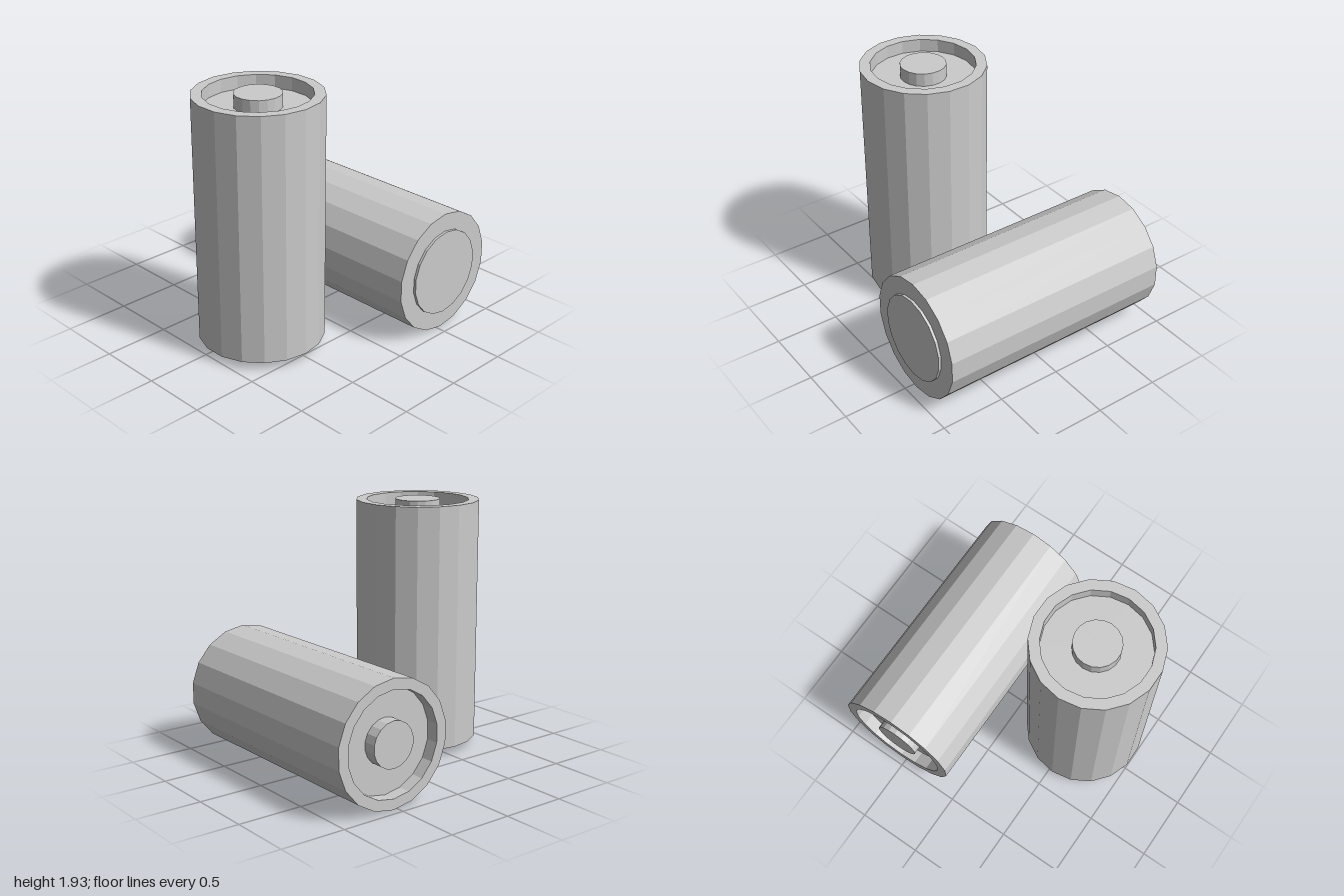
import * as THREE from 'three';

const SIDES = 18;
const material = new THREE.MeshStandardMaterial({ color: 0xcccccc, flatShading: true });

function addPart(group, name, geometry, y = 0) {
  const mesh = new THREE.Mesh(geometry, material);
  mesh.name = name;
  mesh.position.y = y;
  group.add(mesh);
}

// One cell, standing on its flat contact at y = 0
function createBattery(name) {
  const battery = new THREE.Group();
  battery.name = name;

  const radius = 0.47, rimRadius = 0.39;
  const bottom = 0.02, top = 1.888, floor = 1.79;

  // Casing: base, outer wall, rim and recessed top
  const profile = [
    [0, bottom], [radius, bottom], [radius, top],
    [rimRadius, top], [rimRadius, floor], [0, floor],
  ].map(([r, y]) => new THREE.Vector2(r, y));
  addPart(battery, 'casing', new THREE.LatheGeometry(profile, SIDES));

  // Raised button in the recess
  const buttonHeight = 0.1;
  addPart(battery, 'positiveButton',
    new THREE.CylinderGeometry(0.172, 0.172, buttonHeight, SIDES), floor + buttonHeight / 2);

  // Thin flat contact under the base
  addPart(battery, 'negativeContact',
    new THREE.CylinderGeometry(0.332, 0.332, bottom, SIDES), bottom / 2);

  return battery;
}

export function createModel() {
  const model = new THREE.Group();
  model.name = 'batteries';

  const standing = createBattery('standingBattery');
  standing.position.set(-0.537, 0.042, 0.098);

  // Lying on its side, button towards the back
  const lying = createBattery('lyingBattery');
  lying.rotation.x = -Math.PI / 2;
  lying.position.set(0.537, 0.47, 0.945);

  model.add(standing, lying);
  return model;
}
